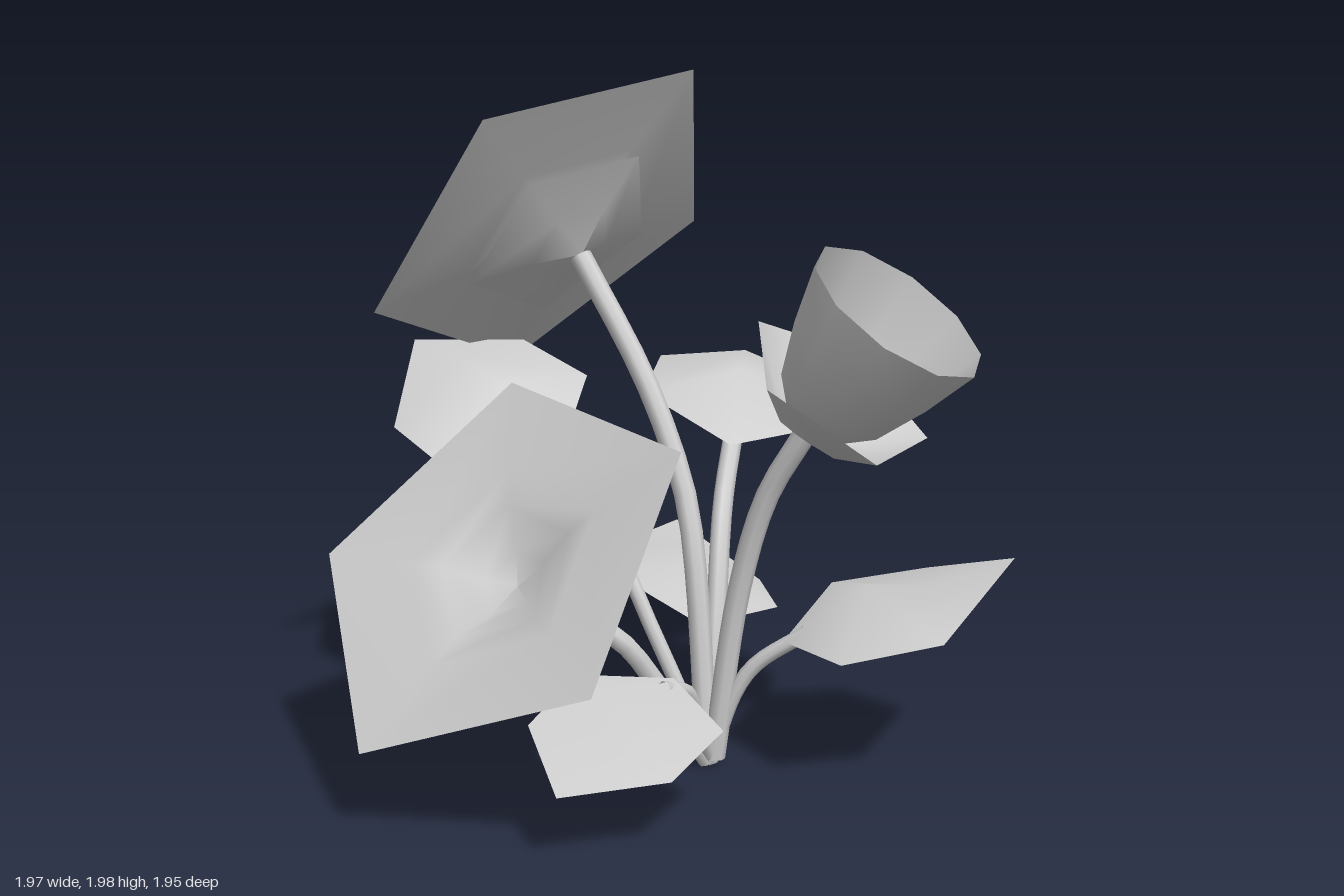
import * as THREE from 'three';

const V = (a) => new THREE.Vector3(...a);

export function createModel() {
  const plant = new THREE.Group();
  plant.name = 'floweringPlant';
  const grey = new THREE.MeshStandardMaterial({ color: 0xcccccc, side: THREE.DoubleSide });
  grey.name = 'pale grey';

  const add = (parent, name, geometry) => {
    const mesh = new THREE.Mesh(geometry, grey);
    mesh.name = name;
    parent.add(mesh);
  };

  // Stem: slim tube through a few points
  const stem = (name, radius, points) => {
    const curve = new THREE.CatmullRomCurve3(points.map(V));
    add(plant, name, new THREE.TubeGeometry(curve, 14, radius, 8));
  };

  // Leaf: six-cornered blade; ribLift and edgeLift raise its two cross rows
  const leaf = (name, base, tip, side, ribLift, edgeLift) => {
    const b = V(base), t = V(tip), s = V(side);
    const rows = [[0.23, 0.36, 1], [0.66, 0.65, 0.95]];
    const pts = [b];
    rows.forEach(([edgeT, ribT, width], row) => {
      for (const k of [-1, 0, 1]) {
        const p = b.clone().lerp(t, k ? edgeT : ribT).addScaledVector(s, k * width);
        p.y += k ? edgeLift[row] : ribLift[row];
        pts.push(p);
      }
    });
    pts.push(t);
    const geometry = new THREE.BufferGeometry().setFromPoints(pts);
    geometry.setIndex([0, 2, 1, 0, 3, 2, 1, 2, 5, 1, 5, 4, 2, 3, 6, 2, 6, 5, 4, 5, 7, 5, 6, 7]);
    geometry.computeVertexNormals();
    add(plant, name, geometry);
  };

  // Flower head frame: local y along the axis, local z towards the first corner
  const head = (name, tip, axis, corner) => {
    const y = V(axis).normalize();
    const z = V(corner);
    z.addScaledVector(y, -z.dot(y)).normalize();
    const x = new THREE.Vector3().crossVectors(y, z);
    const group = new THREE.Group();
    group.name = name;
    group.quaternion.setFromRotationMatrix(new THREE.Matrix4().makeBasis(x, y, z));
    group.position.copy(V(tip));
    plant.add(group);
    return group;
  };
  const lathe = (profile, sides) =>
    new THREE.LatheGeometry(profile.map(([r, h]) => new THREE.Vector2(r, h)), sides);

  // Open flowers: wide five-cornered petals over a smaller calyx
  const openFlower = (name, tip, axis, corner) => {
    const group = head(name, tip, axis, corner);
    add(group, 'petals', lathe([[0, 0.022], [0.1, 0.045], [0.22, 0.105], [0.32, 0.125], [0.617, 0.155]], 5));
    add(group, 'calyx', lathe([[0, 0], [0.14, 0.05], [0.326, 0.09]], 5));
  };
  openFlower('tallFlower', [-0.315, 1.455, -0.21], [-0.62, 0.59, -0.52], [0.42, 0.45, 0.01]);
  openFlower('lowFlower', [-0.378, 0.61, 0.423], [-0.416, 0.672, 0.614], [-0.035, 0.407, -0.466]);

  // Cup flower: deep bell with a straight rim inside a folded calyx
  const cup = head('cupFlower', [0.38, 1.02, 0.23], [0.55, 0.81, 0.21], [-0.233, 0.179, -0.089]);
  add(cup, 'bell', lathe([[0, 0.05], [0.1, 0.075], [0.165, 0.15], [0.225, 0.31], [0.27, 0.475]], 10));
  add(cup, 'calyx', lathe([[0, 0], [0.15, 0.065], [0.3, 0.178]], 5));

  // Flower stems
  stem('tallFlowerStem', 0.033, [[0.11, 0.03, 0.16], [0.06, 0.6, 0.06], [0.02, 0.8, 0], [-0.1, 1.09, -0.09], [-0.32, 1.45, -0.22]]);
  stem('lowFlowerStem', 0.03, [[0.11, 0.03, 0.16], [-0.04, 0.32, 0.27], [-0.12, 0.44, 0.32], [-0.38, 0.62, 0.42]]);
  stem('cupFlowerStem', 0.033, [[0.13, 0.04, 0.16], [0.2, 0.55, 0.16], [0.28, 0.84, 0.19], [0.39, 1.04, 0.235]]);

  // Leaves: name, base, tip, half width, rib lift, edge lift, stalk points
  const leaves = [
    ['frontLeaf', [0.04, 0.35, 0.36], [-0.19, 0.215, 0.92], [0.215, -0.045, 0.07], [0.025, 0.02], [0.005, 0.005],
      [[0.09, 0.18, 0.24], [0.07, 0.29, 0.31]]],
    ['backUpperLeaf', [0.13, 0.88, -0.24], [0.12, 0.985, -0.975], [0.29, -0.045, 0], [0.14, 0.13], [0.05, 0.06],
      [[0.12, 0.45, 0.02], [0.12, 0.73, -0.13]]],
    ['leftLeaf', [0.33, 0.41, 0.18], [0.98, 0.65, 0.06], [0.03, -0.035, 0.265], [0.08, 0.01], [0, -0.055],
      [[0.19, 0.24, 0.16], [0.25, 0.33, 0.16]]],
    ['rightLeaf', [-0.36, 0.85, 0.02], [-0.88, 1.15, -0.39], [-0.16, -0.1, 0.23], [0.13, 0.08], [0.05, 0],
      [[-0.05, 0.4, 0.13], [-0.18, 0.65, 0.08]]],
    ['backLowerLeaf', [0.06, 0.36, -0.08], [-0.1, 0.5, -0.73], [0.25, -0.065, -0.06], [0.07, 0.03], [0.03, -0.035],
      [[0.1, 0.18, 0.08], [0.09, 0.29, 0.01]]],
  ];
  for (const [name, base, tip, side, ribLift, edgeLift, path] of leaves) {
    leaf(name, base, tip, side, ribLift, edgeLift);
    const end = V(base).lerp(V(tip), 0.1).toArray();
    stem(name + 'Stalk', name === 'backUpperLeaf' ? 0.03 : 0.023, [[0.12, 0.03, 0.16], ...path, end]);
  }
  return plant;
}
